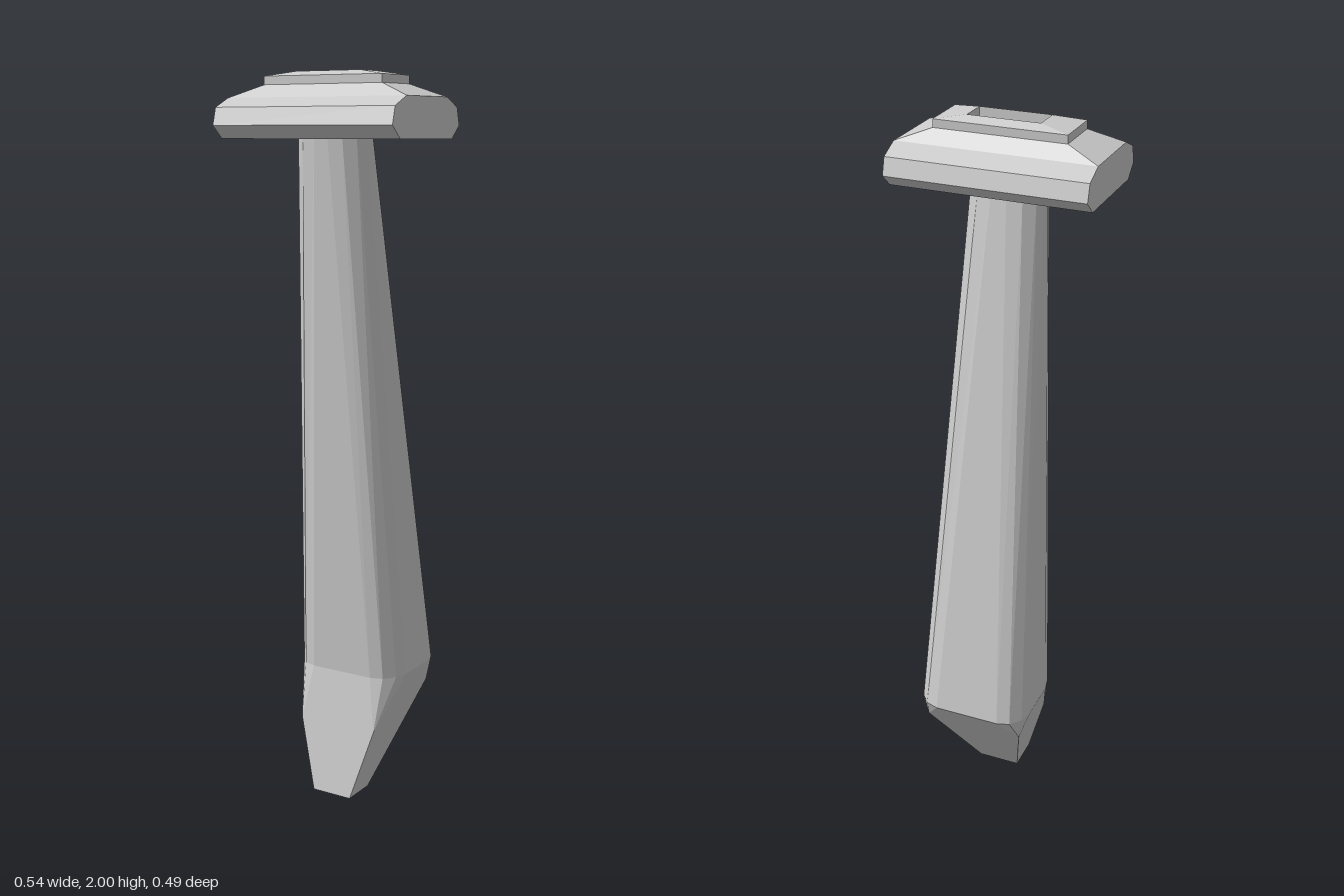
import * as THREE from 'three';

const material = new THREE.MeshStandardMaterial({ color: 0xcccccc, flatShading: true });

// Skin a stack of rings (each an array of [x, y, z], counterclockwise seen from above).
function loft(name, rings, capBottom, capTop) {
  const pos = [];
  const tri = (a, b, c) => {
    const n = new THREE.Vector3(b[0] - a[0], b[1] - a[1], b[2] - a[2])
      .cross(new THREE.Vector3(c[0] - a[0], c[1] - a[1], c[2] - a[2]));
    if (n.length() > 1e-9) pos.push(...a, ...b, ...c); // skip collapsed triangles
  };
  for (let r = 0; r < rings.length - 1; r++) {
    const lo = rings[r], hi = rings[r + 1];
    for (let i = 0; i < lo.length; i++) {
      const j = (i + 1) % lo.length;
      tri(lo[i], lo[j], hi[j]);
      tri(lo[i], hi[j], hi[i]);
    }
  }
  const first = rings[0], last = rings[rings.length - 1];
  for (let i = 1; i < first.length - 1; i++) {
    if (capBottom) tri(first[0], first[i + 1], first[i]);
    if (capTop) tri(last[0], last[i], last[i + 1]);
  }
  const geometry = new THREE.BufferGeometry();
  geometry.setAttribute('position', new THREE.Float32BufferAttribute(pos, 3));
  geometry.computeVertexNormals();
  const mesh = new THREE.Mesh(geometry, material);
  mesh.name = name;
  return mesh;
}

// Signs of the four corners, counterclockwise from above.
const CORNERS = [[1, -1], [-1, -1], [-1, 1], [1, 1]];

// Rectangle ring around the head's centre line.
const HEAD_Z = 0.0685;
const rect = ([hx, hz, y]) => CORNERS.map(([sx, sz]) => [sx * hx, y, HEAD_Z + sz * hz]);

// Rounded rectangle ring with three facets on each corner.
function roundedRing(y, zc, hx, hz, rx, rz) {
  return CORNERS.flatMap(([sx, sz], c) =>
    [0, 1, 2, 3].map((k) => {
      const a = ((c % 2 ? 3 - k : k) * Math.PI) / 6;
      return [sx * (hx - rx + rx * Math.cos(a)), y, zc + sz * (hz - rz + rz * Math.sin(a))];
    }));
}

// Sharp-cornered ring with every corner point repeated to match the rounded rings.
function sharpRing(back, front) {
  return CORNERS.flatMap(([sx, sz]) => {
    const [x, y, z] = sz < 0 ? back : front;
    return Array.from({ length: 4 }, () => [sx * x, y, z]);
  });
}

export function createModel() {
  const group = new THREE.Group();

  // Leaning handle: rounded grip, corners merging into a tapered tip.
  group.add(loft('handle', [
    sharpRing([0.06, 0, 0], [0.06, 0, 0.1]),
    sharpRing([0.142, 0.28, -0.194], [0.119, 0.2, 0.069]),
    roundedRing(0.35, -0.099, 0.163, 0.144, 0.07, 0.083),
    roundedRing(1.84, 0.072, 0.1, 0.073, 0.08, 0.065),
  ], true, true));

  // Wide head slab with bevelled long sides.
  group.add(loft('head', [
    [0.27, 0.135, 1.828],
    [0.27, 0.174, 1.862],
    [0.27, 0.161, 1.908],
    [0.27, 0.105, 1.933],
  ].map(rect), true, false));

  // Stepped top plate with a rectangular pocket sunk into it.
  group.add(loft('topPlate', [
    [0.27, 0.105, 1.933],
    [0.179, 0.069, 1.966],
    [0.179, 0.069, 1.988],
    [0.098, 0.039, 2.0],
    [0.098, 0.039, 1.97],
  ].map(rect), false, true));

  return group;
}
